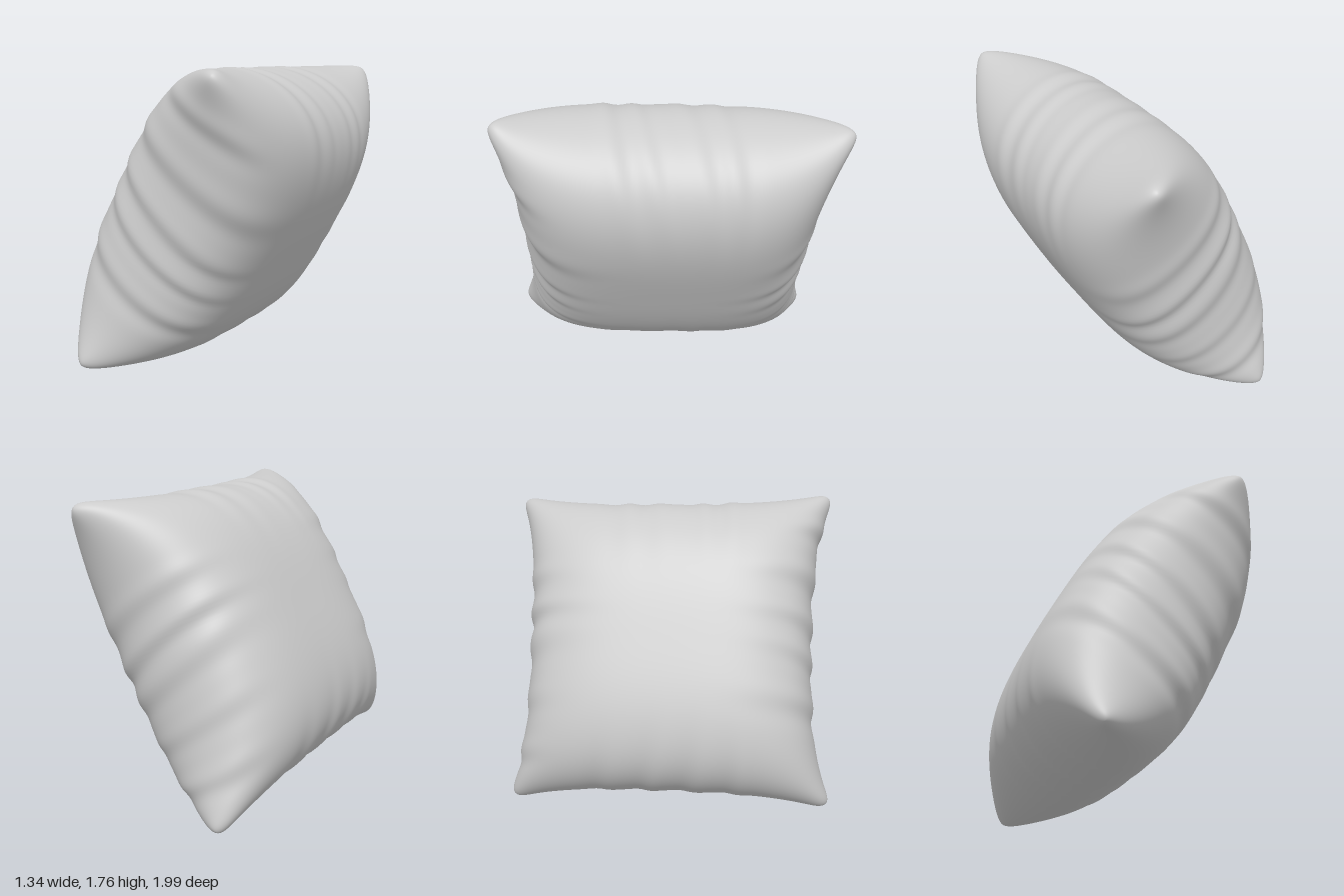
import * as THREE from 'three';
import { mergeGeometries, mergeVertices } from 'three/addons/utils/BufferGeometryUtils.js';

const SEGMENTS = 130;
const TILT = 0.478; // lean away from vertical, radians
const along = new THREE.Vector3(Math.sin(TILT), Math.cos(TILT), 0); // up the cushion
const out = new THREE.Vector3(Math.cos(TILT), -Math.sin(TILT), 0); // through its thickness

// Creases on each seam: [place along seam, depth of crease, width, reach inward]
const CREASES = {
  front: [[0.7, 0.8, 0.07, 0.2], [0.36, 1, 0.09, 0.4], [0.08, 0.9, 0.07, 0.34], [-0.14, 0.8, 0.06, 0.3], [-0.42, 1, 0.08, 0.36]],
  back: [[0.3, 0.7, 0.08, 0.3], [0.06, 1, 0.07, 0.36], [-0.16, 0.8, 0.08, 0.34], [-0.45, 0.6, 0.07, 0.26], [-0.74, 0.9, 0.07, 0.2]],
  top: [[0.28, 1, 0.07, 0.34], [0.1, 0.7, 0.06, 0.3], [-0.18, 0.8, 0.07, 0.36], [-0.35, 0.9, 0.07, 0.32]],
  bottom: [[0.4, 0.7, 0.07, 0.28], [0.14, 0.9, 0.08, 0.32], [-0.12, 0.8, 0.07, 0.34], [-0.38, 0.7, 0.08, 0.28]],
};

// Height of a seam's creases; each is a ridge beside a groove, fading with depth
function folds(creases, t, depth) {
  let sum = 0;
  for (const [place, strength, width, reach] of creases) {
    const s = (t - place) / width;
    sum += strength * 1.6 * s * Math.exp(-s * s - (depth / reach) ** 2);
  }
  return sum;
}

// Point of the cushion for a (bottom to top), b (back to front), side (+1 or -1)
function cushionPoint(a, b, side) {
  const A = Math.abs(a), B = Math.abs(b);
  const sa = Math.sign(a), sb = Math.sign(b);

  // Plump section falling to the seam
  let w = side * 0.51 * Math.sqrt(Math.max(0, (1 - A ** 3) * (1 - B ** 3.4)));

  // Slightly skewed square with seams drawn in and corners rounded
  const ra = a * (1 - 0.035 * B ** 30 * A ** 4);
  const rb = b * (1 - 0.035 * A ** 30 * B ** 4);
  let u = ra * (0.965 + 0.034 * sa * b - 0.08 * (1 - B ** 3) * A * A);
  let z = rb * (0.992 - 0.03 * sb * a - 0.13 * (1 - A ** 3) * B * B);

  // Slanted folds on the four seams
  const fz = folds(sb > 0 ? CREASES.front : CREASES.back, a + 0.3 * w * (1 - A), 1 - B);
  const fu = folds(sa > 0 ? CREASES.top : CREASES.bottom, b + 0.25 * w * (1 - B), 1 - A);
  z += sb * 0.014 * fz;
  u += sa * 0.01 * fu;
  w *= 1 + 0.03 * fz + 0.025 * fu;

  return new THREE.Vector3(0, 0, z).addScaledVector(along, u).addScaledVector(out, w);
}

// One face of the cushion, with rows crowded towards the seam
function face(side) {
  const geo = new THREE.PlaneGeometry(2, 2, SEGMENTS, SEGMENTS);
  geo.deleteAttribute('uv');
  geo.deleteAttribute('normal');
  const pos = geo.attributes.position;
  for (let i = 0; i < pos.count; i++) {
    const a = Math.sin(pos.getX(i) * side * Math.PI / 2);
    const b = Math.sin(pos.getY(i) * Math.PI / 2);
    const p = cushionPoint(a, b, side);
    pos.setXYZ(i, p.x, p.y, p.z);
  }
  return geo;
}

export function createModel() {
  const group = new THREE.Group();
  group.name = 'cushion';

  // Both faces welded along the seam so the shading stays smooth
  const geo = mergeVertices(mergeGeometries([face(1), face(-1)]), 1e-5);
  geo.computeVertexNormals();
  geo.computeBoundingBox();
  const { min, max } = geo.boundingBox;
  geo.translate(-(min.x + max.x) / 2, -min.y, -(min.z + max.z) / 2);

  const cover = new THREE.Mesh(geo, new THREE.MeshStandardMaterial({ color: 0xcccccc }));
  cover.name = 'cushionCover';
  group.add(cover);
  return group;
}
